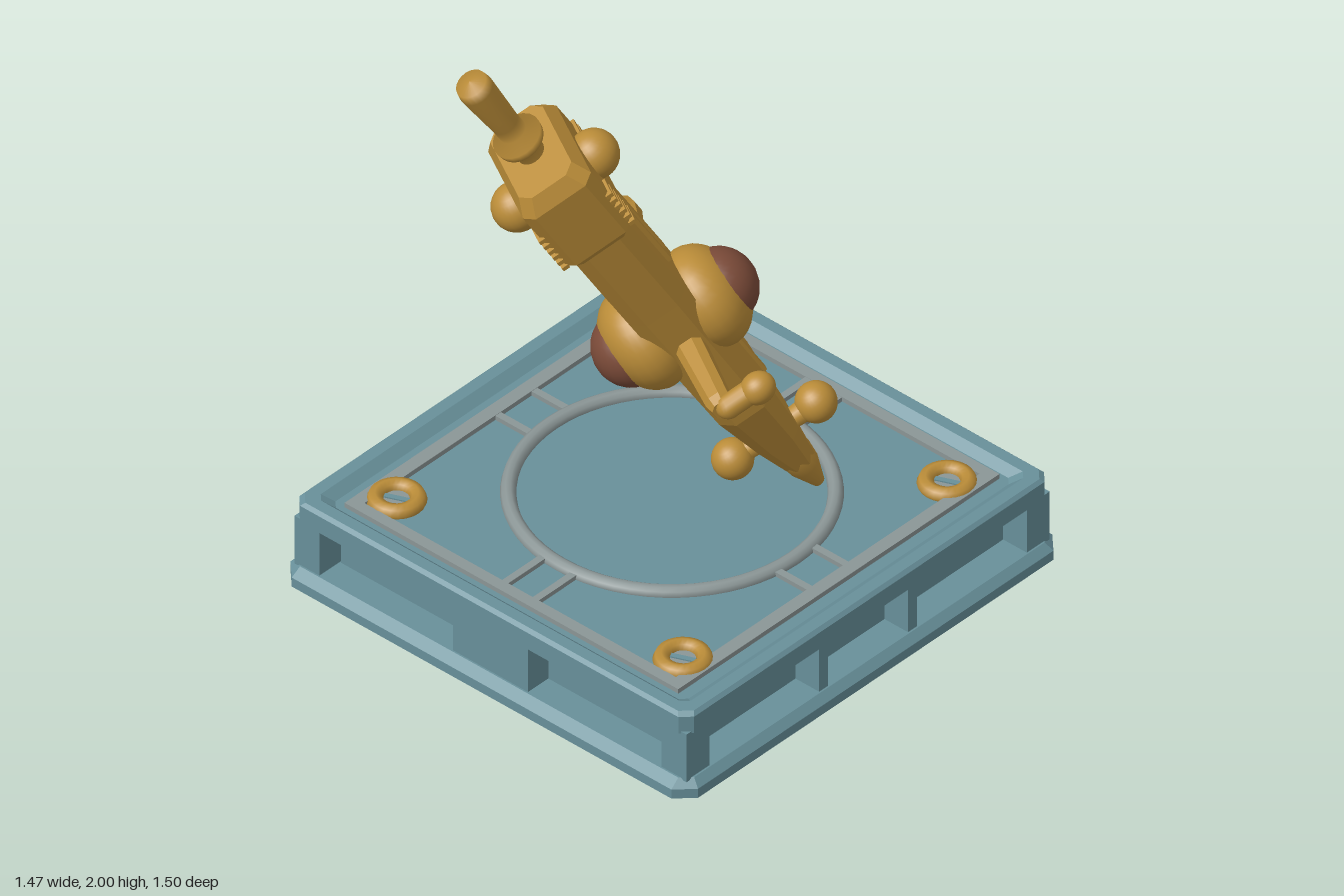
import * as THREE from 'three';

const mat = (name, color, opts = {}) => {
  const m = new THREE.MeshStandardMaterial({ color, ...opts });
  m.name = name;
  return m;
};

// Loft of chamfered rectangles along y; each section is [y, width, depth, chamfer]
function loft(sections) {
  const pos = [], idx = [];
  for (const [y, w, d, c] of sections) {
    const a = w / 2, b = d / 2;
    const ring = [[a, -b + c], [a, b - c], [a - c, b], [-a + c, b], [-a, b - c], [-a, -b + c], [-a + c, -b], [a - c, -b]];
    for (const [x, z] of ring) pos.push(x, y, z);
  }
  for (let s = 0; s < sections.length - 1; s++) {
    for (let i = 0; i < 8; i++) {
      const p = s * 8 + i, n = s * 8 + (i + 1) % 8;
      idx.push(p, p + 8, n, n, p + 8, n + 8);
    }
  }
  const g = new THREE.BufferGeometry();
  g.setAttribute('position', new THREE.Float32BufferAttribute(pos, 3));
  g.setIndex(idx);
  const flat = g.toNonIndexed();
  flat.computeVertexNormals();
  return flat;
}

export function createModel() {
  const gold = mat('gold', 0xba8c38);
  const brown = mat('brown', 0x7a4a38);
  const blue = mat('dusty blue', 0x68909a);
  const grey = mat('pale grey', 0x8b9696);

  const model = new THREE.Group();
  const add = (parent, name, geo, material, x = 0, y = 0, z = 0) => {
    const m = new THREE.Mesh(geo, material);
    m.name = name;
    m.position.set(x, y, z);
    parent.add(m);
    return m;
  };
  const box = (parent, name, material, w, h, d, x, y, z) =>
    add(parent, name, new THREE.BoxGeometry(w, h, d), material, x, y, z);

  // ---- Display base ----
  const base = new THREE.Group();
  base.name = 'displayBase';
  model.add(base);
  add(base, 'baseBody', loft([
    [0, 0, 0, 0], [0, 1.41, 1.45, 0.04], [0.02, 1.465, 1.5, 0.05], [0.05, 1.465, 1.5, 0.05],
    [0.072, 1.42, 1.44, 0.03], [0.072, 1.24, 1.27, 0.01], [0.22, 1.24, 1.27, 0.01],
    [0.22, 1.42, 1.44, 0.03], [0.275, 1.42, 1.44, 0.03], [0.285, 1.4, 1.42, 0.03],
    [0.285, 1.33, 1.35, 0.02], [0.262, 1.27, 1.3, 0.02], [0.262, 0, 0, 0],
  ]), blue);

  // Pillars between the side recesses
  for (const sx of [-1, 1]) {
    for (const sz of [-1, 1]) {
      box(base, 'cornerPillar', blue, 0.09, 0.16, 0.09, sx * 0.66, 0.146, sz * 0.67);
      box(base, 'sidePillar', blue, 0.1, 0.16, 0.035, sx * 0.655, 0.146, sz * 0.175);
    }
    box(base, 'backPillar', blue, 0.035, 0.16, 0.1, sx * 0.25, 0.146, -0.665);
  }
  box(base, 'frontPillar', blue, 0.27, 0.16, 0.1, 0, 0.146, 0.665);

  // Deck trim: square border stepping in around the corner studs
  const border = 0.024;
  for (const s of [-1, 1]) {
    box(base, 'deckBorder', grey, 1.2, border, 0.035, 0, 0.265, s * 0.615);
    box(base, 'deckBorder', grey, 0.04, border, 1.2, s * 0.58, 0.265, 0);
    for (const t of [-0.055, 0.055]) {
      box(base, 'deckStrut', grey, 0.022, border, 0.18, t, 0.264, s * 0.52);
      box(base, 'deckStrut', grey, 0.13, border, 0.022, s * 0.51, 0.264, t * 1.3);
    }
  }
  const ring = add(base, 'deckRing', new THREE.TorusGeometry(0.435, 0.022, 10, 64), grey, 0, 0.265, 0);
  ring.rotation.x = Math.PI / 2;

  // Corner studs
  for (const sx of [-1, 1]) {
    for (const sz of [-1, 1]) {
      const x = sx * 0.515, z = sz * 0.52;
      const stud = add(base, 'cornerStud', new THREE.TorusGeometry(0.058, 0.024, 8, 24), gold, x, 0.27, z);
      stud.rotation.x = Math.PI / 2;
      add(base, 'studCentre', new THREE.CylinderGeometry(0.045, 0.045, 0.02, 20), grey, x, 0.262, z);
      const slot = box(base, 'studSlot', blue, 0.07, 0.006, 0.016, x, 0.273, z);
      slot.rotation.y = 0.4;
    }
  }

  // ---- Ship: local y runs from nose tip to tail, x along the arms ----
  const ship = new THREE.Group();
  ship.name = 'ship';
  const L = new THREE.Vector3(-0.38, 1.72, 0.98).normalize();
  const S = new THREE.Vector3(0.86, -0.02, 0.5);
  S.addScaledVector(L, -S.dot(L)).normalize();
  const N = new THREE.Vector3().crossVectors(S, L);
  ship.quaternion.setFromRotationMatrix(new THREE.Matrix4().makeBasis(S, L, N));
  ship.position.set(0.28, 0.28, -0.28);
  model.add(ship);

  // Fuselage with tapered nose, and the thicker head block
  add(ship, 'fuselage', loft([
    [0.13, 0, 0, 0], [0.13, 0.09, 0.09, 0.025], [0.28, 0.17, 0.13, 0.03], [0.5, 0.28, 0.17, 0.04],
    [1.0, 0.28, 0.18, 0.04], [1.4, 0.29, 0.18, 0.04], [1.4, 0, 0, 0],
  ]), gold);
  add(ship, 'headBlock', loft([
    [1.34, 0, 0, 0], [1.34, 0.3, 0.19, 0.03], [1.37, 0.34, 0.22, 0.03], [1.6, 0.34, 0.22, 0.03],
    [1.65, 0.29, 0.17, 0.03], [1.65, 0, 0, 0],
  ]), gold);

  // Nose tip and tail rod
  const lathe = (pts, n) => new THREE.LatheGeometry(pts.map(p => new THREE.Vector2(...p)), n);
  add(ship, 'noseTip', lathe([[0, 0], [0.018, 0.015], [0.045, 0.1], [0.052, 0.16], [0.04, 0.22], [0, 0.25]], 16), gold);
  add(ship, 'tailRod', lathe([
    [0.04, 1.63], [0.04, 1.69], [0.068, 1.705], [0.072, 1.73], [0.04, 1.755],
    [0.04, 1.8], [0.05, 1.96], [0.045, 1.99], [0, 2.0],
  ], 20), gold);

  const ball = (name, r, x, y, z, sx = 1, sy = 1, sz = 1, material = gold) => {
    const m = add(ship, name, new THREE.SphereGeometry(r, 24, 16), material, x, y, z);
    m.scale.set(sx, sy, sz);
    return m;
  };

  for (const s of [-1, 1]) {
    // Domed pods on both broad faces
    ball('podCollar', 0.15, 0, 0.83, s * 0.1, 1, 1, 0.75);
    ball('podDome', 0.108, 0, 0.83, s * 0.148, 1, 1, 0.95, brown);
    // Knobs on the head and near the nose
    ball('headKnob', 0.07, 0, 1.51, s * 0.125);
    ball('noseKnob', 0.058, 0, 0.265, s * 0.135);
    const neck = add(ship, 'noseKnobNeck', new THREE.CylinderGeometry(0.028, 0.035, 0.12, 12), gold, 0, 0.265, s * 0.08);
    neck.rotation.x = Math.PI / 2;
    // Slot with side rails, and the nose spine
    box(ship, 'slotStrip', brown, 0.032, 0.22, 0.008, 0, 1.22, s * 0.091);
    for (const t of [-1, 1]) box(ship, 'slotRail', gold, 0.018, 0.3, 0.03, t * 0.026, 1.2, s * 0.087);
    box(ship, 'noseSpine', gold, 0.02, 0.24, 0.02, 0, 0.6, s * 0.085);
    // Vent ribs along the head edges
    for (const t of [-1, 1]) {
      for (let i = 0; i < 6; i++) box(ship, 'ventRib', gold, 0.06, 0.013, 0.02, t * 0.125, 1.37 + i * 0.026, s * 0.108);
    }
  }

  // Arms: tapered bars along local x
  const leftArm = add(ship, 'leftArm', loft([
    [0, 0, 0, 0], [0, 0.09, 0.085, 0.02], [0.36, 0.075, 0.07, 0.02], [0.39, 0.06, 0.055, 0.015], [0.39, 0, 0, 0],
  ]), gold, 0, 0.83, 0);
  leftArm.rotation.z = -Math.PI / 2;
  const rightArm = add(ship, 'rightArm', loft([
    [0, 0, 0, 0], [0, 0.08, 0.085, 0.02], [0.36, 0.065, 0.075, 0.02],
    [0.42, 0.085, 0.1, 0.02], [0.46, 0.07, 0.08, 0.02], [0.46, 0, 0, 0],
  ]), gold, 0, 0.83, 0);
  rightArm.rotation.z = Math.PI / 2;

  // Stub with rounded end on the left arm
  const stub = add(ship, 'armStub', new THREE.CapsuleGeometry(0.034, 0.09, 6, 14), gold, 0.39, 0.83, -0.06);
  stub.rotation.x = Math.PI / 2;
  ball('armStubEnd', 0.045, 0.395, 0.83, -0.11, 1, 1, 1.1);

  return model;
}
